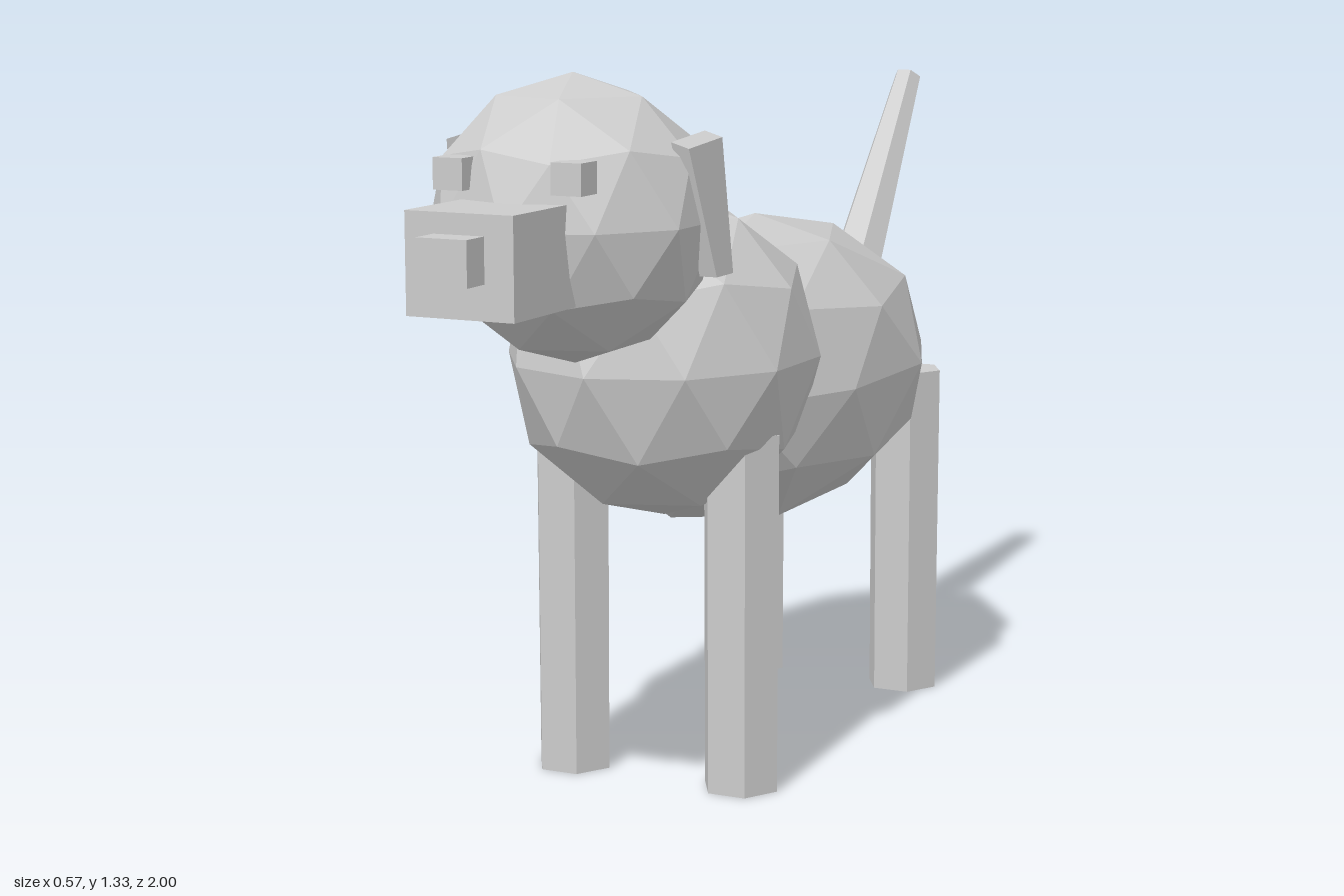
import * as THREE from 'three';

const coat = new THREE.MeshStandardMaterial({ color: 0xcccccc });
coat.name = 'pale grey';

// Faceted mesh: split the faces so every one gets its own normal
function part(name, geometry, x = 0, y = 0, z = 0) {
  const flat = geometry.index ? geometry.toNonIndexed() : geometry;
  flat.computeVertexNormals();
  const mesh = new THREE.Mesh(flat, coat);
  mesh.name = name;
  mesh.position.set(x, y, z);
  return mesh;
}

// Once-subdivided icosahedron with its poles on y and an upper corner on +x
function icoball(rx, ry, rz) {
  const h = Math.sqrt(0.2), r = 2 * h;
  const verts = [0, 1, 0];
  for (const [y, turn] of [[h, 0], [-h, 0.5]]) {
    for (let i = 0; i < 5; i++) {
      const a = (i + turn) * Math.PI * 0.4;
      verts.push(r * Math.cos(a), y, r * Math.sin(a));
    }
  }
  verts.push(0, -1, 0);
  const faces = [];
  for (let i = 0; i < 5; i++) {
    const n = (i + 1) % 5;
    const u = 1 + i, un = 1 + n, l = 6 + i, ln = 6 + n;
    faces.push(0, un, u, u, un, l, ln, l, un, l, ln, 11);
  }
  return new THREE.PolyhedronGeometry(verts, faces, 1, 1).scale(rx, ry, rz);
}

// Six-sided rod with corners on +x and -x
function hexRod(top, bottom, height) {
  return new THREE.CylinderGeometry(top, bottom, height, 6).rotateY(Math.PI / 6);
}

// Hanging slab, tapering downwards and leaning outwards
function earGeometry(side) {
  const geo = new THREE.BoxGeometry(1, 1, 1);
  const p = geo.attributes.position;
  for (let i = 0; i < p.count; i++) {
    const outer = p.getX(i) * side > 0, up = p.getY(i) > 0, front = p.getZ(i) > 0;
    const x = up ? (outer ? 0.233 : 0.2) : (outer ? 0.256 : 0.224);
    const y = up ? 1.225 - (outer ? 0.01 : 0) - (front ? 0.01 : 0) : 0.984;
    const z = up ? (front ? 0.585 : 0.455) : (front ? 0.525 : 0.46);
    p.setXYZ(i, x * side, y, z);
  }
  return geo;
}

export function createModel() {
  const model = new THREE.Group();
  model.name = 'dog';

  // Body masses
  model.add(
    part('body', icoball(0.3, 0.3, 0.545), 0, 0.711, -0.185),
    part('chest', icoball(0.285, 0.301, 0.315), 0, 0.792, 0.212),
  );

  // Head with muzzle and nose
  const head = new THREE.Group();
  head.name = 'head';
  head.add(
    part('skull', icoball(0.25, 0.25, 0.25), 0, 1.075, 0.556),
    part('muzzle', new THREE.BoxGeometry(0.2, 0.172, 0.205), 0, 1.037, 0.8425),
    part('nose', new THREE.BoxGeometry(0.093, 0.077, 0.1), 0, 1.049, 0.95),
  );
  model.add(head);

  // Mirrored parts
  for (const side of [1, -1]) {
    const label = side > 0 ? 'left' : 'right';
    head.add(
      part(label + 'Eye', new THREE.BoxGeometry(0.056, 0.054, 0.056), side * 0.111, 1.167, 0.762),
      part(label + 'Ear', earGeometry(side)),
    );
    for (const [end, z] of [['Front', 0.247], ['Back', -0.549]]) {
      model.add(part(label + end + 'Leg', hexRod(0.075, 0.073, 0.665), side * 0.173, 0.3325, z));
    }
  }

  // Raised tail
  const tail = part('tail', hexRod(0.029, 0.056, 0.506), 0, 1.028, -0.826);
  tail.rotation.x = -Math.atan2(0.302, 0.406);
  model.add(tail);

  return model;
}
